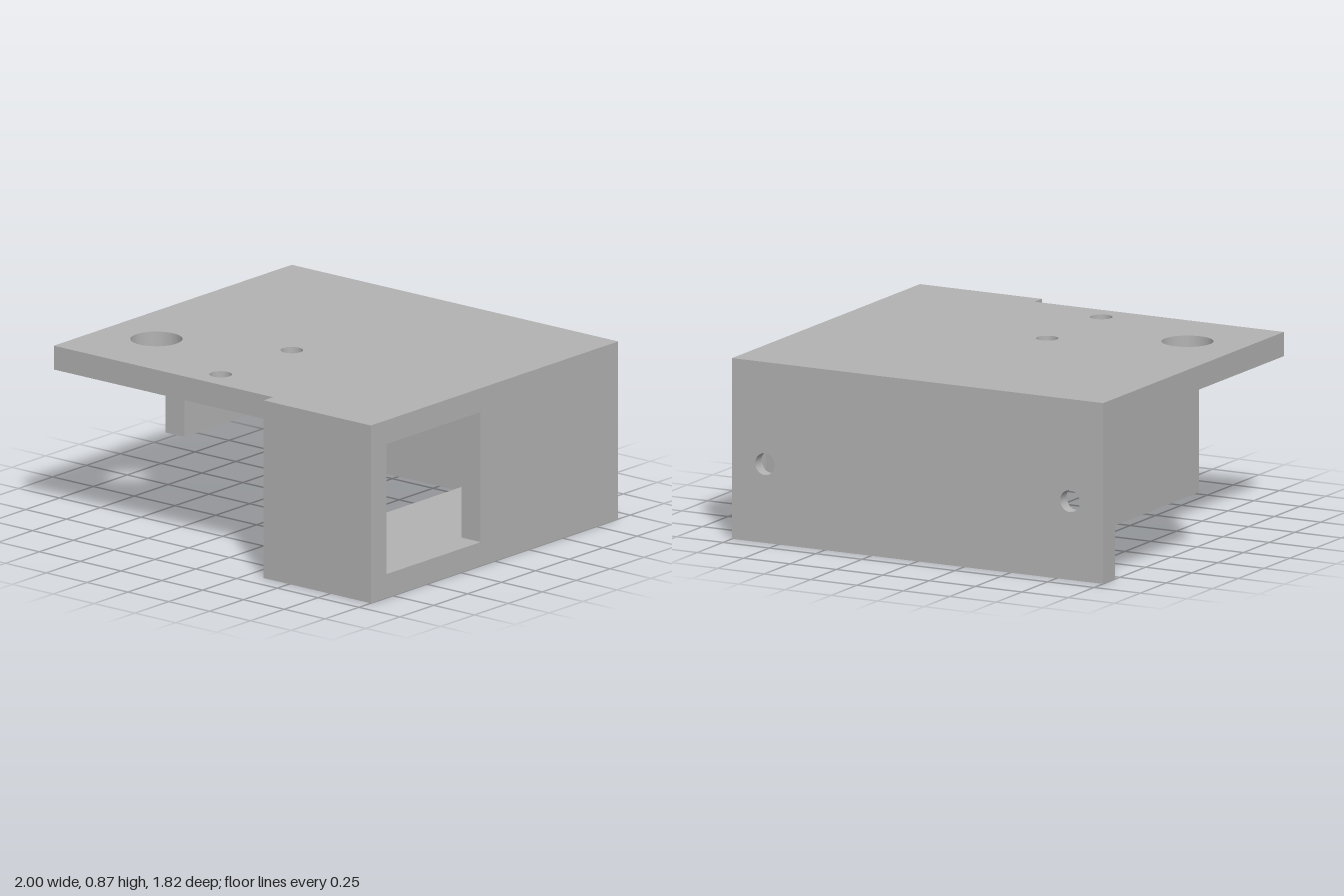
import * as THREE from 'three';

const T = 0.117;                      // wall thickness
const H = 0.873, D = 0.912;           // height, half depth
const UNDER = H - T;                  // underside of the top plate
const BACK = -D + T, FRONT = D - T;   // inner faces of back and front walls

export function createModel() {
  const model = new THREE.Group();
  model.name = 'mountingBracket';
  const grey = new THREE.MeshStandardMaterial({ color: 0xb2b2b2 });
  grey.name = 'grey';

  const add = (name, geometry) => {
    const mesh = new THREE.Mesh(geometry, grey);
    mesh.name = name;
    model.add(mesh);
    return mesh;
  };

  // Box given by its limits on each axis
  const box = (name, x0, x1, y0, y1, z0, z1) =>
    add(name, new THREE.BoxGeometry(x1 - x0, y1 - y0, z1 - z0)
      .translate((x0 + x1) / 2, (y0 + y1) / 2, (z0 + z1) / 2));

  const polygon = (points) => new THREE.Shape(points.map(([x, y]) => new THREE.Vector2(x, y)));
  const circle = (x, y, r) => new THREE.Path().absarc(x, y, r, 0, Math.PI * 2, true);
  const hexagon = (x, y, r) => new THREE.Path(Array.from({ length: 6 }, (_, i) =>
    new THREE.Vector2(x + r * Math.cos(-i * Math.PI / 3), y + r * Math.sin(-i * Math.PI / 3))));
  const extrude = (shape, depth) =>
    new THREE.ExtrudeGeometry(shape, { depth, bevelEnabled: false, curveSegments: 24 });

  // Top plate with a stepped front edge, drawn in (x, -z) and laid flat
  const plate = polygon([[-1, -0.843], [0.343, -0.843], [0.343, -D], [1, -D], [1, D], [-1, D]]);
  plate.holes.push(
    circle(-0.7, -0.447, 0.123),
    circle(-0.09, -0.183, 0.053),
    circle(-0.09, -0.708, 0.053));
  add('topPlate', extrude(plate, T).rotateX(-Math.PI / 2).translate(0, UNDER, 0));

  // Back wall in two layers: round bolt holes outside, hexagonal nut pockets inside
  const layer = (name, hole, z, depth) => {
    const wall = polygon([[-1, 0], [1, 0], [1, UNDER], [-1, UNDER]]);
    for (const side of [-1, 1]) wall.holes.push(hole(side * 0.822));
    add(name, extrude(wall, depth).translate(0, 0, z));
  };
  const pocket = 0.058;
  layer('backWallOuter', (x) => circle(x, 0.38, 0.053), -D, T - pocket);
  layer('backWallInner', (x) => hexagon(x, 0.38, 0.098), BACK - pocket, pocket);

  // Hollow housing, open towards the middle and through a window in its side
  box('housingFloor', 0.343, 1, 0, T, BACK, FRONT);
  box('housingFrontWall', 0.343, 1, 0, UNDER, FRONT, D);
  box('housingSideWall', 1 - T, 1, T, UNDER, BACK, 0.102);

  // Short flange under the opposite edge of the plate
  box('sideFlange', -1, -1 + T, 0.26, UNDER, BACK, 0.02);

  return model;
}
